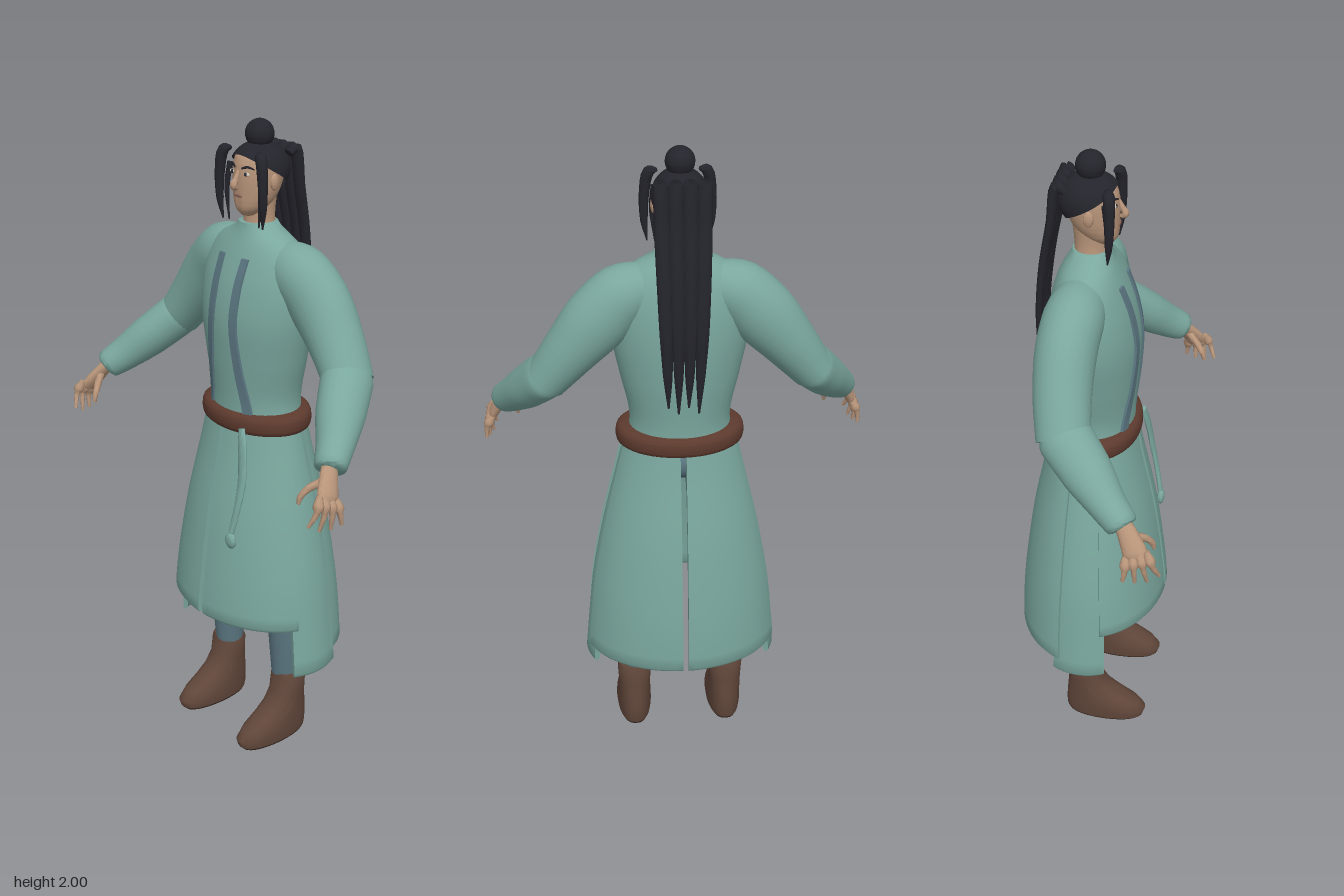
import * as THREE from 'three';
import { toCreasedNormals } from 'three/addons/utils/BufferGeometryUtils.js';

const mat = (name, color) => new THREE.MeshStandardMaterial({ name, color, side: THREE.DoubleSide });
const V = (x, y, z) => new THREE.Vector3(x, y, z);

// Smoothly interpolates rows [key, a, b, ...] at a key
function sample(rows, k) {
  let i = 0;
  while (i < rows.length - 2 && k > rows[i + 1][0]) i++;
  const at = (n) => rows[Math.max(0, Math.min(rows.length - 1, n))];
  const p = at(i), q = at(i + 1), h = q[0] - p[0], t = (k - p[0]) / h;
  const slope = (n, c) => (at(n + 1)[c] - at(n - 1)[c]) / (at(n + 1)[0] - at(n - 1)[0]);
  return p.slice(1).map((v, n) => {
    const c = n + 1, t2 = t * t, t3 = t2 * t;
    return v * (2 * t3 - 3 * t2 + 1) + q[c] * (3 * t2 - 2 * t3)
      + h * (slope(i, c) * (t3 - 2 * t2 + t) + slope(i + 1, c) * (t3 - t2));
  });
}

// Skins closed loops of points; each loop runs anticlockwise about the direction of travel
function loft(rings, caps = true) {
  const n = rings[0].length, m = rings.length, pts = rings.flat(), idx = [];
  for (let i = 0; i < m - 1; i++) for (let j = 0; j < n; j++) {
    const a = i * n + j, b = i * n + (j + 1) % n;
    idx.push(a, b, b + n, a, b + n, a + n);
  }
  if (caps) for (const end of [0, m - 1]) {
    const c = pts.length;
    pts.push(rings[end].reduce((s, p) => s.add(p), V(0, 0, 0)).divideScalar(n));
    for (let j = 0; j < n; j++) {
      const a = end * n + j, b = end * n + (j + 1) % n;
      idx.push(c, end ? a : b, end ? b : a);
    }
  }
  const g = new THREE.BufferGeometry().setFromPoints(pts);
  g.setIndex(idx);
  return g;
}

// Upright body from rows [y, rx, rz, centreZ]
function body(rows, steps = 24, sides = 40) {
  const y0 = rows[0][0], y1 = rows[rows.length - 1][0], rings = [];
  for (let i = 0; i <= steps; i++) {
    const y = y0 + (y1 - y0) * i / steps, [rx, rz, c] = sample(rows, y);
    rings.push(Array.from({ length: sides }, (_, j) => {
      const a = j / sides * Math.PI * 2;
      return V(rx * Math.sin(a), y, c + rz * Math.cos(a));
    }));
  }
  return loft(rings);
}

// Tapered limb along points [x, y, z, radius, depthRadius]
function limb(p, steps = 16, sides = 14) {
  const path = new THREE.CatmullRomCurve3(p.map((q) => V(q[0], q[1], q[2])));
  const size = new THREE.CatmullRomCurve3(p.map((q) => V(q[3], q[4] ?? q[3], 0)));
  const rings = [];
  for (let i = 0; i <= steps; i++) {
    const t = i / steps, o = path.getPoint(t), r = size.getPoint(t), T = path.getTangent(t);
    const S = T.clone().cross(V(0, 0, 1)).normalize(), U = T.clone().cross(S);
    rings.push(Array.from({ length: sides }, (_, j) => {
      const a = j / sides * Math.PI * 2;
      return o.clone().addScaledVector(S, r.x * Math.cos(a)).addScaledVector(U, r.y * Math.sin(a));
    }));
  }
  return loft(rings);
}

function ball(x, y, z, rx, ry, rz) {
  return new THREE.SphereGeometry(1, 24, 16).scale(rx, ry, rz).translate(x, y, z);
}

function mirror(g) {
  const m = g.clone().scale(-1, 1, 1), a = m.index.array;
  for (let i = 0; i < a.length; i += 3) [a[i + 1], a[i + 2]] = [a[i + 2], a[i + 1]];
  return m;
}

const TORSO = [[1.07, .165, .125, -.035], [1.17, .154, .125, -.035], [1.3, .18, .134, -.035],
  [1.42, .203, .137, -.035], [1.52, .208, .125, -.04], [1.6, .19, .103, -.045],
  [1.65, .145, .082, -.045], [1.685, .075, .064, -.042], [1.703, .058, .058, -.04]];
const HEAD = [[1.725, .02, .022, -.005], [1.738, .036, .042, -.012], [1.755, .05, .056, -.02],
  [1.79, .064, .07, -.032], [1.84, .071, .08, -.041], [1.88, .07, .078, -.044],
  [1.9, .064, .07, -.045], [1.925, .04, .045, -.045]];
const SKIRT = [[.29, .32, .241], [.46, .304, .235], [.6, .288, .221], [.8, .25, .192], [1.0, .202, .15], [1.1, .178, .132]];
const frontZ = (rows, x, y) => {
  const [rx, rz, c] = sample(rows, y);
  return c + rz * Math.sqrt(1 - (x / rx) ** 2);
};

// Curved skirt panel with thickness and a rounded hem; null edges stop at the centre slit
function panel(a0, a1, hem, inset) {
  const rings = [], n = 20, steps = 18;
  for (let i = -1; i <= steps; i++) {
    const y = i < 0 ? hem : hem + .012 + (1.1 - hem - .012) * i / steps;
    const [rx, rz] = sample(SKIRT, y), slit = Math.asin(.009 / rx);
    const from = a0 ?? slit, to = a1 ?? Math.PI - slit, th = i < 0 ? 0 : .009;
    const arc = (d) => Array.from({ length: n + 1 }, (_, j) => {
      const a = from + (to - from) * j / n;
      return V((rx + d) * Math.sin(a), y, -.035 + (rz + d) * Math.cos(a));
    });
    rings.push([...arc(th - inset - .009), ...arc(-th - inset - .009).reverse()]);
  }
  return loft(rings, false);
}

export function createModel() {
  const root = new THREE.Group();
  const robe = mat('robe green', 0x7aa79e), slate = mat('slate cloth', 0x5b7681);
  const beltM = mat('belt leather', 0x5d3a2e), bootM = mat('boot leather', 0x60463a);
  const soleM = mat('sole', 0x33251f), skin = mat('skin', 0xb8957a), hair = mat('hair', 0x24242c);
  const white = mat('eye white', 0xd0c8bd), lip = mat('lips', 0x8f675a);
  const add = (name, g, m) => {
    const mesh = new THREE.Mesh(toCreasedNormals(g, 1.0), m);
    mesh.name = name;
    root.add(mesh);
  };
  const both = (name, g, m) => { add('left' + name, g, m); add('right' + name, mirror(g), m); };

  // Robe
  add('torso', body(TORSO, 36), robe);
  both('FrontSkirt', panel(null, 1.27, .455, 0), robe);
  both('BackSkirt', panel(1.85, null, .345, 0), robe);
  both('SideSkirt', panel(1.2, 1.95, .29, .01), robe);
  both('UpperSleeve', limb([[.06, 1.6, -.05, .06], [.17, 1.565, -.06, .094, .088], [.24, 1.5, -.068, .099, .088],
    [.32, 1.405, -.063, .084, .084], [.4, 1.3, -.045, .066, .078]], 20, 24), robe);
  both('LowerSleeve', limb([[.37, 1.34, -.075, .05], [.395, 1.31, -.04, .068, .08], [.45, 1.24, .035, .066, .074],
    [.5, 1.18, .1, .056], [.535, 1.14, .15, .046], [.538, 1.136, .154, .036]], 20, 24), robe);

  // Lapel strips lying on the chest
  const LAPEL = [[1.13, .073, .098], [1.25, .054, .08], [1.4, .038, .064], [1.5, .036, .063], [1.61, .04, .064]];
  const strips = [];
  for (let i = 0; i <= 24; i++) {
    const y = 1.13 + .48 * i / 24, [a, b] = sample(LAPEL, y);
    const za = frontZ(TORSO, a, y), zb = frontZ(TORSO, b, y);
    strips.push([V(a, y, za + .007), V(b, y, zb + .007), V(b, y, zb - .002), V(a, y, za - .002)]);
  }
  both('Lapel', loft(strips), slate);

  // Belt and hanging sash
  add('belt', body([[1.072, .178, .128, -.035], [1.08, .192, .141, -.035], [1.104, .197, .146, -.035],
    [1.128, .192, .141, -.035], [1.136, .178, .128, -.035]], 14, 48), beltM);
  add('sash', limb([[.09, 1.1, .1, .012, .008], [.108, 1.04, .112, .02, .008], [.122, .95, .125, .018, .008],
    [.12, .86, .142, .013, .008], [.108, .77, .158, .01, .008]]), robe);
  add('sashKnot', ball(.108, .748, .16, .023, .027, .012), robe);

  // Trousers
  add('hips', ball(0, 1.02, -.035, .15, .075, .095), slate);
  both('Trouser', limb([[.085, 1.02, -.035, .07], [.1, .85, -.035, .076], [.13, .6, -.035, .068],
    [.143, .42, -.037, .059], [.145, .2, -.04, .045]], 16, 20), slate);

  // Boots from sections [y, halfWidth, backZ, frontZ]
  const BOOT = [[.008, .055, -.1, .158], [.03, .058, -.105, .165], [.06, .057, -.105, .14], [.09, .055, -.103, .09],
    [.12, .053, -.1, .048], [.16, .053, -.096, .018], [.215, .056, -.096, .008], [.23, .05, -.09, .003]];
  const bootRing = ([y, w, b, f]) => Array.from({ length: 28 }, (_, j) => {
    const a = j / 28 * Math.PI * 2, s = Math.sin(a), c = Math.cos(a);
    return V(.153 + w * Math.sign(s) * Math.abs(s) ** .8, y, (b + f) / 2 + (f - b) / 2 * c);
  });
  both('Boot', loft(BOOT.map(bootRing)), bootM);
  both('Sole', loft([[0, .05, -.096, .15], [.012, .054, -.099, .157]].map(bootRing)), soleM);

  // Hands
  both('Palm', limb([[.528, 1.15, .145, .02, .024], [.55, 1.115, .17, .018, .03], [.572, 1.075, .193, .016, .036],
    [.578, 1.055, .2, .009, .03]]), skin);
  for (let k = 0; k < 4; k++) {
    const z = .168 + k * .019, y = 1.058 + k * .007;
    both('Finger' + (k + 1), limb([[.574, y + .01, z, .009], [.597 - k * .004, y - .03, z + k * .006, .009],
      [.6 - k * .01, .985 + (k === 3 ? .018 : k === 0 ? .006 : 0), .163 + k * .033, .005]], 10, 8), skin);
  }
  both('Thumb', limb([[.54, 1.11, .178, .012], [.512, 1.085, .212, .011], [.5, 1.06, .23, .009], [.499, 1.04, .235, .005]], 10, 8), skin);

  // Head and face
  add('neck', body([[1.68, .05, .05, -.045], [1.72, .045, .047, -.045], [1.8, .05, .052, -.048]], 6, 24), skin);
  add('head', body(HEAD, 28), skin);
  add('nose', limb([[0, 1.86, .034, .005], [0, 1.835, .046, .008], [0, 1.818, .054, .011], [0, 1.808, .042, .007]], 10, 10), skin);
  both('Ear', ball(.076, 1.828, -.037, .008, .024, .015), skin);
  const eyeZ = frontZ(HEAD, .03, 1.853);
  both('Eye', ball(.03, 1.853, eyeZ, .014, .006, .004), white);
  both('Iris', ball(.03, 1.853, eyeZ + .002, .006, .006, .004), hair);
  both('Brow', limb([[.014, 1.868, frontZ(HEAD, .014, 1.868), .003], [.032, 1.873, frontZ(HEAD, .032, 1.873), .004],
    [.048, 1.867, frontZ(HEAD, .048, 1.867), .002]], 8, 6), hair);
  add('mouth', ball(0, 1.787, frontZ(HEAD, 0, 1.787), .018, .005, .004), lip);

  // Hair cap with a hem that drops toward the back
  const cap = [];
  for (let i = 16; i >= 0; i--) cap.push(Array.from({ length: 40 }, (_, j) => {
    const a = j / 40 * Math.PI * 2, t = (i + .01) / 16 * (1.61 - .68 * Math.cos(a));
    return V(.083 * Math.sin(t) * Math.sin(a), 1.855 + .083 * Math.cos(t), -.045 + .095 * Math.sin(t) * Math.cos(a));
  }));
  add('hairCap', loft(cap, false), hair);
  add('bun', ball(0, 1.957, -.045, .043, .043, .043), hair);

  // Locks beside the face and long strands down the back
  both('SideLock', limb([[.062, 1.915, .012, .006], [.084, 1.905, .022, .017], [.097, 1.84, .026, .015],
    [.098, 1.76, .025, .011], [.09, 1.7, .02, .002]]), hair);
  both('ThinLock', limb([[.07, 1.87, .008, .009], [.076, 1.8, .016, .008], [.068, 1.7, .015, .002]]), hair);
  [-.06, -.02, .02, .06].forEach((x, k) => add('backStrand' + (k + 1), limb([[x, 1.9, -.105, .016, .012],
    [x * 1.02, 1.915, -.128, .021, .016], [x, 1.8, -.148, .022, .013], [x * .95, 1.66, -.174, .021, .012],
    [x * .88, 1.5, -.19, .019, .01], [x * .8, 1.36, -.188, .014, .008], [x * .75, 1.23 + .02 * (k % 2), -.177, .003]], 28), hair));

  return root;
}
